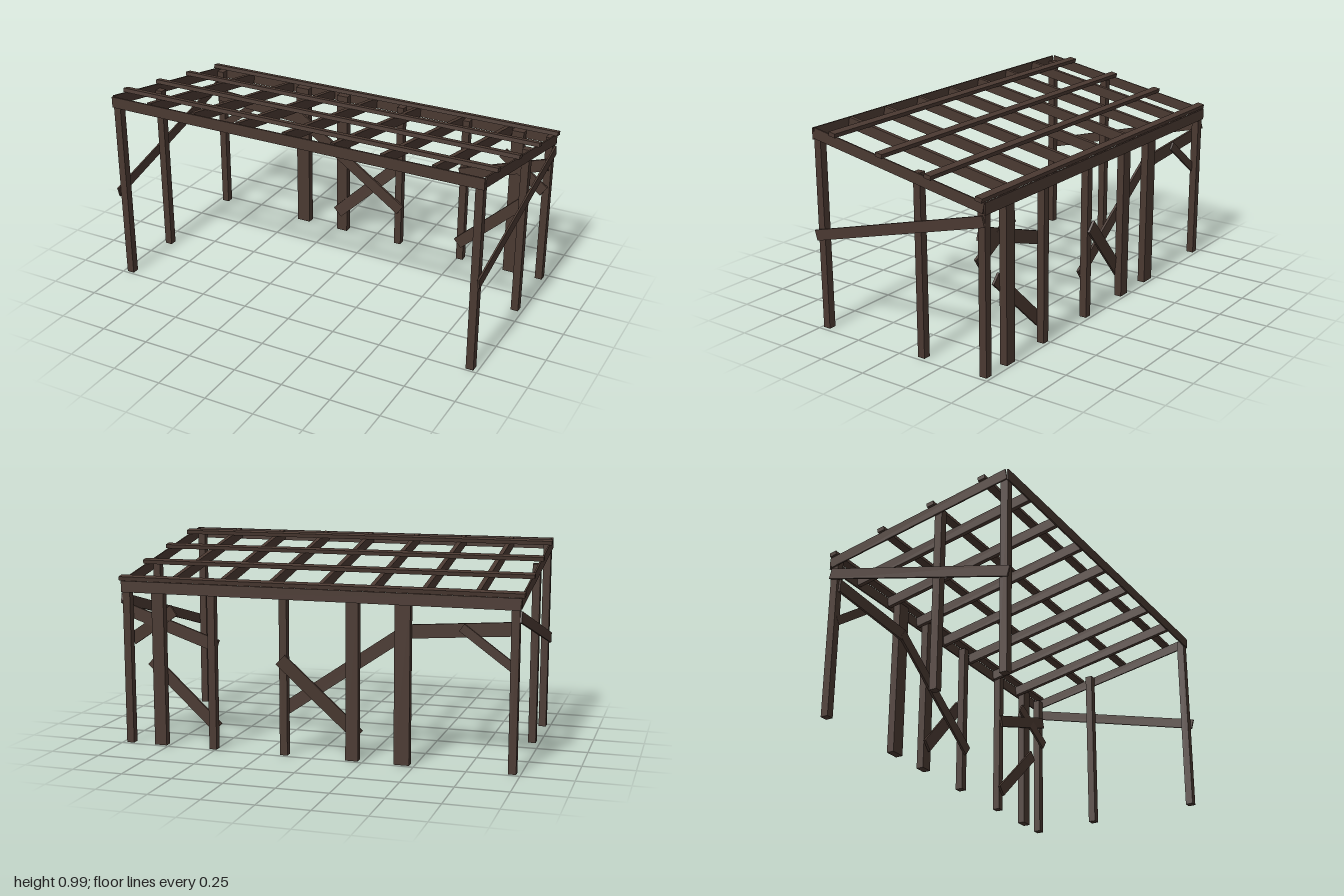
import * as THREE from 'three';

export function createModel() {
  const group = new THREE.Group();
  const wood = new THREE.MeshStandardMaterial({ color: 0x4a3931 });
  wood.name = 'dark brown wood';

  const SLOPE = 0.184, PITCH = Math.atan(SLOPE);
  const roofY = z => 0.993 - SLOPE * (0.475 - z); // top edge of the rafters

  function box(name, w, h, d, x, y, z) {
    const m = new THREE.Mesh(new THREE.BoxGeometry(w, h, d), wood);
    m.name = name;
    m.position.set(x, y, z);
    group.add(m);
    return m;
  }

  // Plank running from a to b; its thin direction lies closest to "normal"
  function plank(name, a, b, width, thick, normal) {
    const A = new THREE.Vector3(...a), B = new THREE.Vector3(...b);
    const dir = B.clone().sub(A), len = dir.length();
    dir.normalize();
    const n = new THREE.Vector3(...normal);
    n.addScaledVector(dir, -n.dot(dir)).normalize();
    const side = n.clone().cross(dir);
    const mid = A.add(B).multiplyScalar(0.5);
    const m = box(name, len, width, thick, mid.x, mid.y, mid.z);
    m.quaternion.setFromRotationMatrix(new THREE.Matrix4().makeBasis(dir, side, n));
  }

  const post = (name, x, z, w, top) => box(name, w, top, 0.038, x, top / 2, z);

  // Front and side posts
  for (const x of [-0.961, 0.961]) post('frontPost', x, 0.47, 0.038, 0.965);
  post('leftBaySidePost', -0.961, 0.12, 0.038, 0.90);
  post('rightBaySidePost', 0.961, -0.114, 0.038, 0.883);

  // Back row: square posts and wider boards
  for (const [x, w] of [[-0.961, 0.038], [-0.438, 0.075], [-0.195, 0.062], [0.147, 0.038],
    [0.515, 0.038], [0.795, 0.063], [0.961, 0.038]]) post('backPost', x, -0.465, w, 0.805);

  // Front and back fascia boards
  box('frontBeam', 1.97, 0.056, 0.008, 0, 0.963, 0.491);
  box('backBeam', 1.97, 0.056, 0.008, 0, 0.788, -0.487);

  // Sloping rafters: thin boards at the two ends, thicker ones between
  const rafter = (name, x, t) => {
    const h = 0.052, drop = h / 2 / Math.cos(PITCH);
    plank(name, [x, roofY(0.483) - drop, 0.483], [x, roofY(-0.482) - drop, -0.482], h, t, [1, 0, 0]);
  };
  for (const x of [-0.984, 0.984]) rafter('endRafter', x, 0.008);
  for (let i = 0; i < 7; i++) rafter('rafter', -0.773 + i * 0.2523, 0.022);

  // Purlins laid across the rafters
  for (const z of [0.36, 0.085, -0.19, -0.465]) {
    box('purlin', 2, 0.02, 0.037, 0, roofY(z) + 0.009, z).rotation.x = -PITCH;
  }

  // Long diagonal rail on each side
  for (const x of [-0.985, 0.985]) {
    plank('sideRail', [x, 0.468, 0.5], [x, 0.731, -0.481], 0.052, 0.009, [1, 0, 0]);
  }

  // Loose bracing boards nailed across the back row
  const braces = [
    [[-0.965, 0.668, -0.441], [-0.44, 0.63, -0.441], 0.065],
    [[-0.955, 0.487, -0.451], [-0.71, 0.665, -0.451], 0.042],
    [[-0.455, 0.637, -0.44], [0.163, 0.213, -0.44], 0.062],
    [[-0.214, 0.115, -0.435], [0.155, 0.473, -0.497], 0.064],
    [[0.5, 0.508, -0.44], [0.962, 0.662, -0.436], 0.062],
    [[0.725, 0.675, -0.446], [0.96, 0.518, -0.426], 0.06],
    [[0.505, 0.1, -0.438], [0.85, 0.42, -0.441], 0.06],
  ];
  for (const [a, b, w] of braces) plank('backBrace', a, b, w, 0.012, [0, 0, 1]);

  return group;
}
